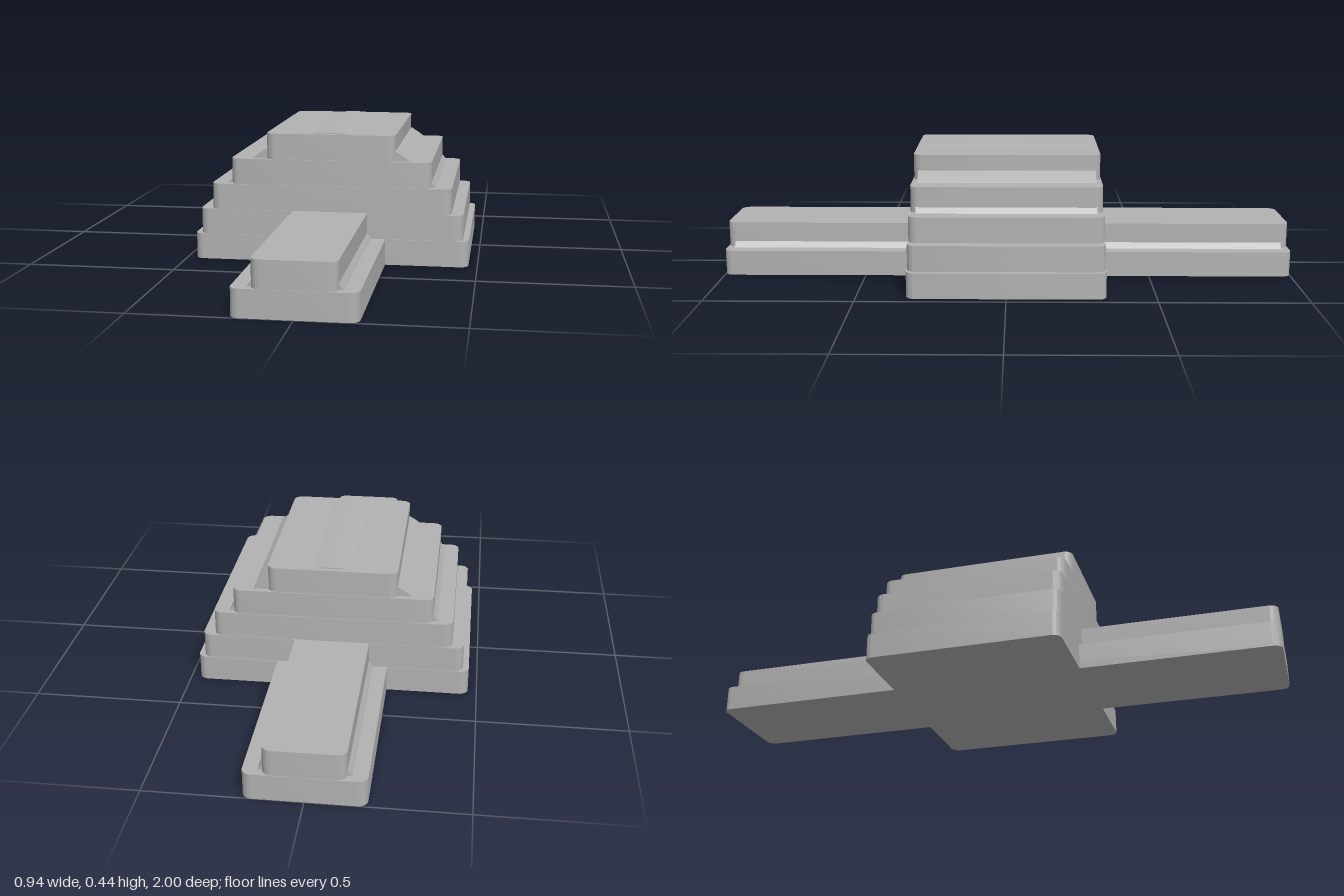
import * as THREE from 'three';
import { toCreasedNormals } from 'three/addons/utils/BufferGeometryUtils.js';

const STEP = 0.0877;

// Flat slab with rounded vertical corners, standing on y = 0
function slabGeometry(w, d, h, r) {
  const s = new THREE.Shape();
  s.moveTo(w - r, -d);
  s.absarc(w - r, -d + r, r, -Math.PI / 2, 0);
  s.absarc(w - r, d - r, r, 0, Math.PI / 2);
  s.absarc(-w + r, d - r, r, Math.PI / 2, Math.PI);
  s.absarc(-w + r, -d + r, r, Math.PI, Math.PI * 1.5);
  s.closePath();
  const g = new THREE.ExtrudeGeometry(s, { depth: h, bevelEnabled: false, curveSegments: 8 });
  g.rotateX(-Math.PI / 2);
  return toCreasedNormals(g, 0.6);
}

// Half cylinder lying along z, arch upwards
function archGeometry(r, halfLength) {
  const g = new THREE.CylinderGeometry(r, r, halfLength * 2, 64, 1, false, Math.PI / 2, Math.PI);
  return g.rotateX(Math.PI / 2);
}

export function createModel() {
  const model = new THREE.Group();
  model.name = 'steppedVault';
  const grey = new THREE.MeshStandardMaterial({ color: 0xb2b2b2 });
  grey.name = 'lightGrey';

  const add = (name, geometry, y = 0) => {
    const mesh = new THREE.Mesh(geometry, grey);
    mesh.name = name;
    mesh.position.y = y;
    model.add(mesh);
  };

  // Main block: five tiers, [half width, half depth]
  [[0.47, 0.333], [0.45, 0.33], [0.41, 0.328], [0.342, 0.325], [0.22, 0.322]].forEach(([w, d], i) =>
    add(`mainTier${i + 1}`, slabGeometry(w, d, STEP, 0.03), i * STEP));
  add('mainVault', archGeometry(0.443, 0.305));

  // Long passage running through the block: two tiers
  [[0.19, 1], [0.128, 0.998]].forEach(([w, d], i) =>
    add(`passageTier${i + 1}`, slabGeometry(w, d, STEP, 0.03), i * STEP));
  add('passageVault', archGeometry(0.167, 0.972));

  return model;
}
